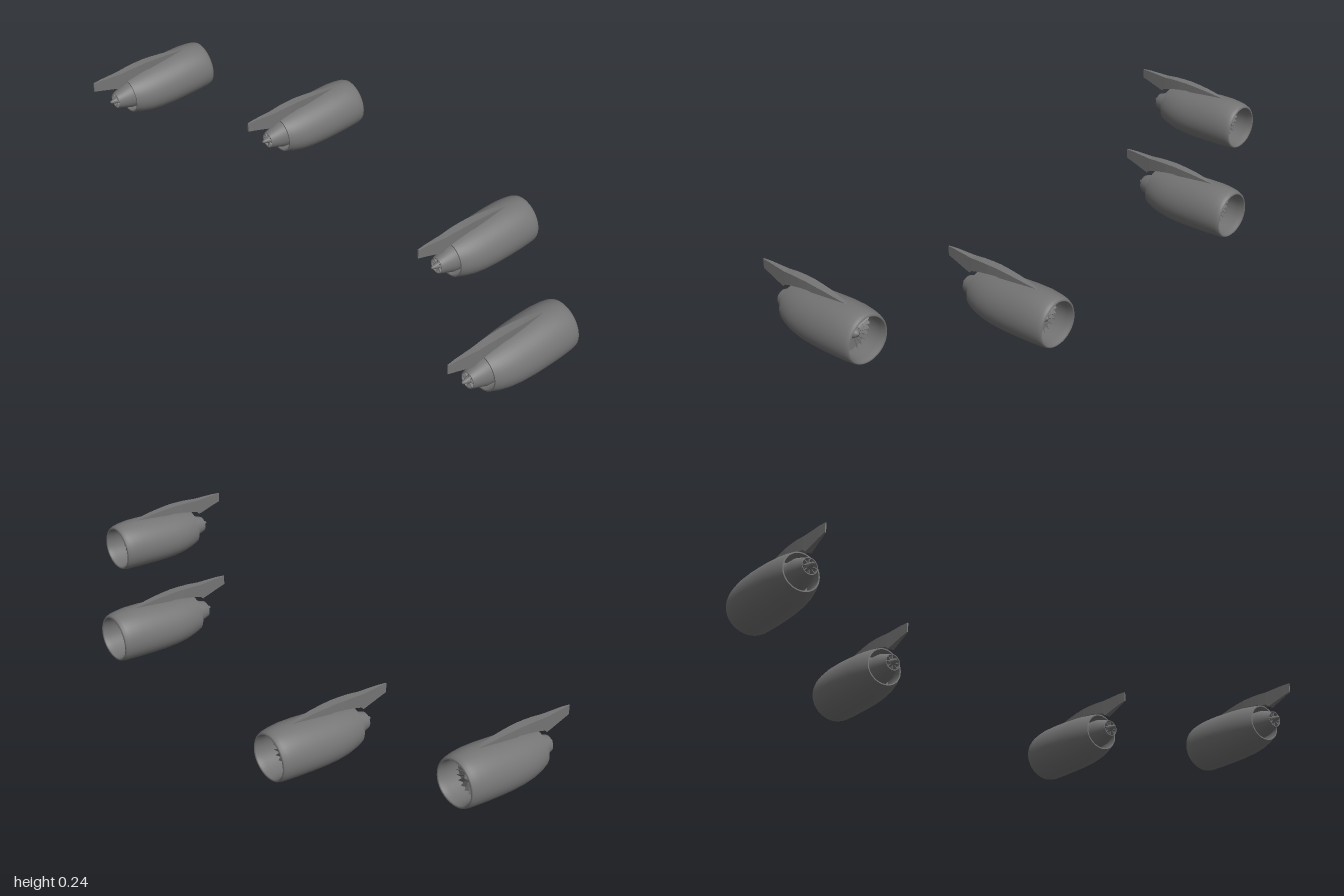
import * as THREE from 'three';

const SEG = 40;

// Skin a list of closed rings running along x; optional flat end caps
function loft(rings, caps = false, flat = false) {
  const n = rings[0].length, pos = [], idx = [];
  rings.forEach(r => r.forEach(p => pos.push(...p)));
  for (let i = 0; i < rings.length - 1; i++) {
    for (let j = 0; j < n; j++) {
      const a = i * n + j, b = i * n + (j + 1) % n;
      idx.push(a, a + n, b, b, a + n, b + n);
    }
  }
  if (caps) {
    const e = (rings.length - 1) * n;
    for (let j = 1; j < n - 1; j++) idx.push(0, j, j + 1, e, e + j + 1, e + j);
  }
  let g = new THREE.BufferGeometry();
  g.setAttribute('position', new THREE.Float32BufferAttribute(pos, 3));
  g.setIndex(idx);
  if (flat) g = g.toNonIndexed();
  g.computeVertexNormals();
  return g;
}

// Slightly egg-shaped ring, a little wider below its centre
function oval([x, yc, ry, rz], egg = 0) {
  return Array.from({ length: SEG }, (_, j) => {
    const a = j / SEG * Math.PI * 2, s = Math.sin(a);
    return [x, yc + ry * s, rz * Math.cos(a) * (1 - egg * s)];
  });
}

function box([x, yb, yt, w]) {
  return [[x, yb, w], [x, yt, w], [x, yt, -w], [x, yb, -w]];
}

// Rings: x, centre height, half height, half width (repeated rings make creases)
const NACELLE = [
  [-0.16, 0.132, 0.066, 0.068], [-0.25, 0.132, 0.059, 0.057],
  [-0.25, 0.132, 0.059, 0.057], [-0.25, 0.132, 0.063, 0.061],
  [-0.25, 0.132, 0.063, 0.061], [-0.225, 0.131, 0.07, 0.07],
  [-0.19, 0.1305, 0.0775, 0.078], [-0.15, 0.1315, 0.0825, 0.083],
  [-0.1, 0.134, 0.0855, 0.086], [-0.05, 0.1375, 0.087, 0.087],
  [0, 0.14, 0.087, 0.086], [0.035, 0.14, 0.085, 0.083],
  [0.055, 0.139, 0.083, 0.08], [0.066, 0.138, 0.079, 0.077],
  [0.07, 0.1375, 0.074, 0.073], [0.066, 0.1375, 0.071, 0.07],
  [0.045, 0.1375, 0.068, 0.068], [0, 0.1375, 0.069, 0.069], [-0.02, 0.1375, 0.069, 0.069],
];
const CORE = [
  [-0.275, 0.129, 0.026, 0.026], [-0.3, 0.128, 0.025, 0.024],
  [-0.3, 0.128, 0.025, 0.024], [-0.3, 0.128, 0.0275, 0.026],
  [-0.3, 0.128, 0.0275, 0.026], [-0.25, 0.13, 0.045, 0.041], [-0.16, 0.132, 0.052, 0.05],
];
// Stations: x, bottom, top, half width
const PYLON = [
  [-0.38, 0.2, 0.232, 0.002], [-0.35, 0.194, 0.234, 0.005],
  [-0.285, 0.178, 0.234, 0.01], [-0.275, 0.188, 0.234, 0.011],
  [-0.24, 0.199, 0.238, 0.013], [-0.205, 0.207, 0.24, 0.014],
  [-0.17, 0.213, 0.241, 0.014], [-0.13, 0.21, 0.239, 0.013],
  [-0.09, 0.208, 0.236, 0.011], [-0.05, 0.205, 0.231, 0.008], [-0.015, 0.2, 0.226, 0.004],
];

function buildEngine(mat) {
  const engine = new THREE.Group();
  const add = (name, geo, x = 0, y = 0, parent = engine) => {
    const m = new THREE.Mesh(geo, mat);
    m.name = name;
    m.position.set(x, y, 0);
    parent.add(m);
    return m;
  };

  add('nacelle', loft(NACELLE.map(r => oval(r, 0.05))));
  add('coreNozzle', loft(CORE.map(r => oval(r))));
  add('pylon', loft(PYLON.map(box), true, true));

  // Walls closing the intake, bypass duct and core
  const disc = r => new THREE.CylinderGeometry(r, r, 0.006, SEG).rotateZ(Math.PI / 2);
  add('fanBackplate', disc(0.07), -0.012, 0.1375);
  add('bypassBulkhead', disc(0.069), -0.162, 0.132);
  add('exhaustBulkhead', disc(0.027), -0.275, 0.129);

  // Spinner and tail plug
  add('spinner', new THREE.LatheGeometry([
    [0.022, -0.01], [0.022, 0], [0.018, 0.012], [0.01, 0.024], [0, 0.03],
  ].map(p => new THREE.Vector2(...p)), 24).rotateZ(-Math.PI / 2), 0, 0.1375);
  add('exhaustPlug', new THREE.LatheGeometry([
    [0, -0.322], [0.005, -0.318], [0.006, -0.312], [0.011, -0.298], [0.014, -0.272],
  ].map(p => new THREE.Vector2(...p)), 20).rotateZ(-Math.PI / 2), 0, 0.129);

  // Fan blades, twisted about their own length
  const fan = new THREE.Group();
  fan.name = 'fan';
  fan.position.set(-0.002, 0.1375, 0);
  engine.add(fan);
  for (let i = 0; i < 24; i++) {
    const blade = new THREE.BoxGeometry(0.014, 0.05, 0.0015)
      .rotateY(0.7).translate(0, 0.043, 0).rotateX(i / 24 * Math.PI * 2);
    add('fanBlade', blade, 0, 0, fan);
  }

  // Struts between the plug and the core nozzle
  for (let i = 0; i < 8; i++) {
    const strut = new THREE.BoxGeometry(0.022, 0.014, 0.002)
      .translate(0, 0.018, 0).rotateX(i / 8 * Math.PI * 2);
    add('exhaustStrut', strut, -0.287, 0.1285);
  }
  return engine;
}

export function createModel() {
  const model = new THREE.Group();
  model.name = 'engineSet';
  const grey = new THREE.MeshStandardMaterial({ color: 0x757575 });
  grey.name = 'engineGrey';
  // Outer pair sits further back and higher than the inner pair
  for (const side of [1, -1]) {
    const outer = buildEngine(grey);
    outer.name = 'outerEngine';
    outer.position.z = side * 0.912;
    const inner = buildEngine(grey);
    inner.name = 'innerEngine';
    inner.position.set(0.308, -0.047, side * 0.437);
    model.add(outer, inner);
  }
  return model;
}
